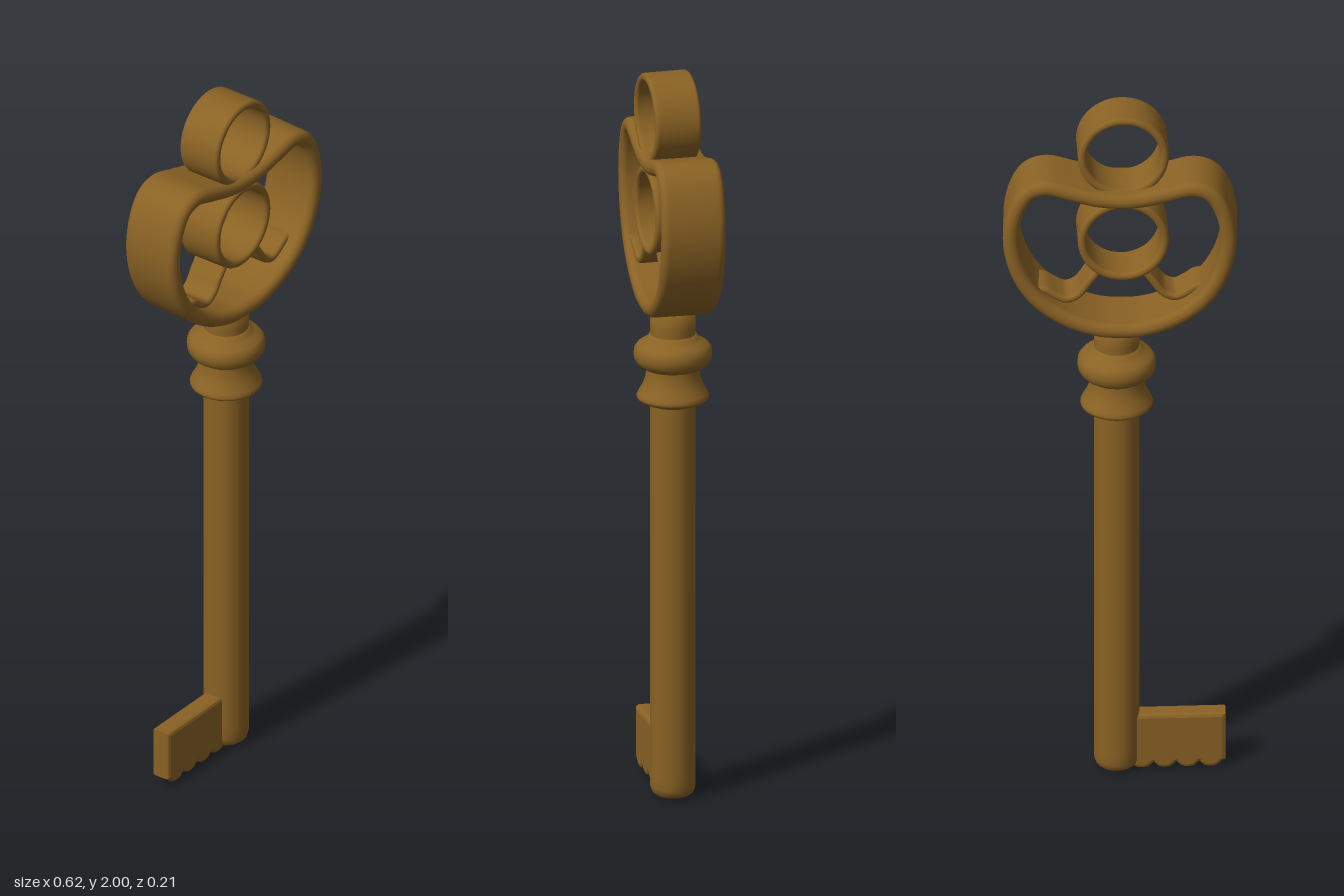
import * as THREE from 'three';

const brass = new THREE.MeshStandardMaterial({ color: 0x8a6224 });
brass.name = 'brass';
const brassOpen = brass.clone();
brassOpen.name = 'brass';
brassOpen.side = THREE.DoubleSide;

// Rounded rectangle section: t across the band, d along z.
function roundedSection(t, d, r) {
  const section = [];
  const steps = 5;
  [[1, 1], [-1, 1], [-1, -1], [1, -1]].forEach(([sx, sy], q) => {
    for (let k = 0; k <= steps; k++) {
      const a = (q + k / steps) * Math.PI / 2;
      section.push([sx * (t / 2 - r) + r * Math.cos(a), sy * (d / 2 - r) + r * Math.sin(a)]);
    }
  });
  return section;
}

// Sweeps a rounded band along a curve lying in the xy plane.
function bandGeometry(curve, closed, steps, t, d) {
  const section = roundedSection(t, d, t * 0.46);
  const n = section.length;
  const rows = closed ? steps : steps + 1;
  const positions = [], index = [];
  for (let i = 0; i < rows; i++) {
    const p = curve.getPoint(i / steps), g = curve.getTangent(i / steps);
    for (const [u, v] of section) positions.push(p.x - g.y * u, p.y + g.x * u, v);
  }
  for (let i = 0; i < steps; i++) {
    const i2 = (i + 1) % rows;
    for (let j = 0; j < n; j++) {
      const j2 = (j + 1) % n;
      const a = i * n + j, b = i2 * n + j, c = i2 * n + j2, e = i * n + j2;
      index.push(a, e, c, a, c, b);
    }
  }
  const geometry = new THREE.BufferGeometry();
  geometry.setAttribute('position', new THREE.Float32BufferAttribute(positions, 3));
  geometry.setIndex(index);
  geometry.computeVertexNormals();
  return geometry;
}

const spline = (pts, closed) =>
  new THREE.CatmullRomCurve3(pts.map(([x, y]) => new THREE.Vector3(x, y, 0)), closed, 'centripetal');

export function createModel() {
  const key = new THREE.Group();
  key.name = 'key';
  const add = (name, geometry, x = 0, y = 0, z = 0, material = brass) => {
    const mesh = new THREE.Mesh(geometry, material);
    mesh.name = name;
    mesh.position.set(x, y, z);
    key.add(mesh);
    return mesh;
  };

  // Shaft with a chamfered tip
  const lathe = (pts) =>
    new THREE.LatheGeometry(pts.map(([r, y]) => new THREE.Vector2(r, y)), 32);
  add('shaft', lathe([[0, 0.008], [0.045, 0.008], [0.055, 0.016], [0.06, 0.032], [0.06, 0.06],
    [0.06, 1.3], [0.06, 1.362], [0, 1.362]]), 0.007);

  // Flared collar and rounded collar
  add('flaredCollar', lathe([[0.055, 1.088], [0.085, 1.1], [0.094, 1.106], [0.096, 1.113], [0.092, 1.122],
    [0.081, 1.142], [0.073, 1.163], [0.07, 1.185], [0.07, 1.2]]), 0.007);
  add('roundCollar', lathe([[0.06, 1.186], [0.078, 1.192], [0.094, 1.203], [0.102, 1.216], [0.104, 1.23],
    [0.102, 1.245], [0.094, 1.256], [0.079, 1.265], [0.067, 1.274], [0.062, 1.284], [0.055, 1.284]]), 0.007);

  // Heart-shaped bow, turned slightly about the shaft
  const half = [[0.06, 1.371], [0.14, 1.4], [0.217, 1.458], [0.267, 1.54], [0.287, 1.64],
    [0.272, 1.73], [0.24, 1.782], [0.195, 1.798], [0.13, 1.783], [0.06, 1.765]];
  const outline = [[0, 1.366], ...half, [0, 1.76], ...half.slice().reverse().map(([x, y]) => [-x, y])];
  add('heartBow', bandGeometry(spline(outline, true), true, 96, 0.042, 0.172), -0.002, 0, 0)
    .rotation.y = -0.06;

  // Hanging ring above the bow and the ring inside it
  const circle = spline(Array.from({ length: 24 }, (_, i) => {
    const a = i / 24 * Math.PI * 2;
    return [0.109 * Math.cos(a), 0.109 * Math.sin(a)];
  }), true);
  const ring = bandGeometry(circle, true, 64, 0.022, 0.125);
  add('topRing', ring, -0.009, 1.88, 0.01);
  add('innerRing', ring, -0.009, 1.625, 0.01);

  // Curled struts from the inner ring to the bow
  for (const s of [1, -1]) {
    const path = [[0.055, 1.535], [0.085, 1.495], [0.112, 1.458], [0.143, 1.445],
      [0.172, 1.457], [0.2, 1.475], [0.228, 1.478]];
    add(s > 0 ? 'leftStrut' : 'rightStrut',
      bandGeometry(spline(path.map(([x, y]) => [s * x, y]), false), false, 28, 0.02, 0.1),
      -0.003, 0, 0.008, brassOpen);
  }

  // Bit with a wavy toothed lower edge
  const b = 0.01;
  const bit = new THREE.Shape();
  bit.moveTo(-0.02, 0.165 - b);
  bit.lineTo(-0.28 + b, 0.165 - b);
  bit.lineTo(-0.28 + b, 0.03);
  const teeth = 4, samples = 40;
  for (let i = 0; i <= samples; i++) {
    const f = i / samples;
    const wave = 0.5 + 0.5 * Math.cos(f * teeth * Math.PI * 2);
    bit.lineTo(-0.28 + b + f * (0.25 - b), b + 0.003 + 0.017 * wave * wave);
  }
  const bitGeometry = new THREE.ExtrudeGeometry(bit, {
    depth: 0.035, bevelEnabled: true, bevelSize: b, bevelThickness: b, bevelSegments: 2,
  });
  add('bit', bitGeometry, 0, 0, -0.0175);

  return key;
}
